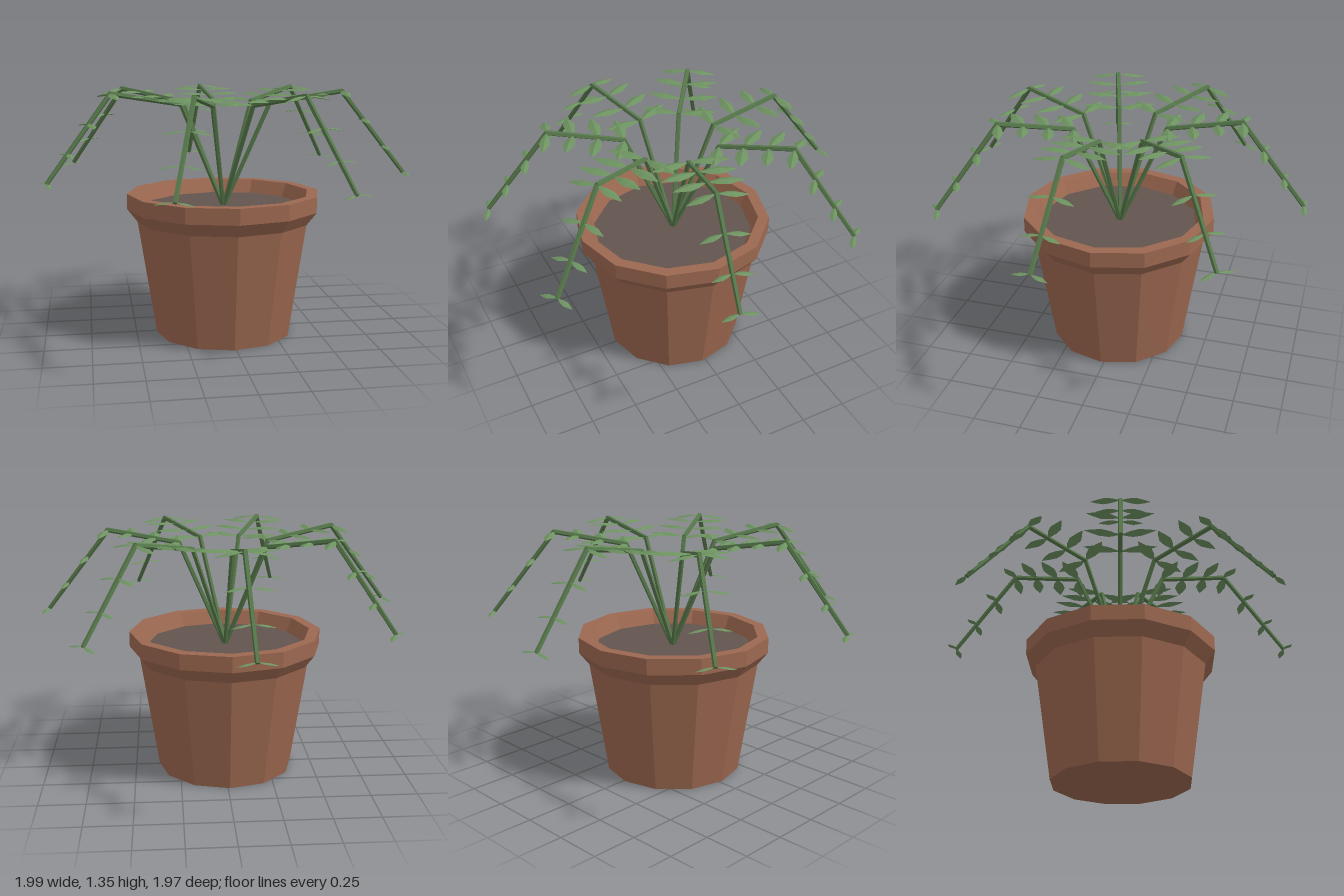
import * as THREE from 'three';

const potMat = new THREE.MeshStandardMaterial({ color: 0x9c6850 });
const soilMat = new THREE.MeshStandardMaterial({ color: 0x63554e });
const stemMat = new THREE.MeshStandardMaterial({ color: 0x56784a });
const leafMat = new THREE.MeshStandardMaterial({ color: 0x6d9260, side: THREE.DoubleSide });

// faceted normals for the low-poly look
function faceted(geometry) {
  const g = geometry.index ? geometry.toNonIndexed() : geometry;
  g.computeVertexNormals();
  return g;
}

function part(name, geometry, material) {
  const mesh = new THREE.Mesh(faceted(geometry), material);
  mesh.name = name;
  return mesh;
}

// straight stem piece between two points
function stemPiece(a, b, r0, r1) {
  const dir = b.clone().sub(a);
  const mesh = part('stem', new THREE.CylinderGeometry(r1, r0, dir.length() + 0.008, 5), stemMat);
  mesh.position.copy(a).add(b).multiplyScalar(0.5);
  mesh.quaternion.setFromUnitVectors(new THREE.Vector3(0, 1, 0), dir.normalize());
  return mesh;
}

// pointed leaf along +x, lightly folded on its midrib
function leafGeometry() {
  const top = [[0, 0, 0], [0.3, 0, 0.13], [0.55, 0, 0.17], [0.8, 0, 0.09], [1, 0, 0]];
  const rib = top.map(([x]) => [x, 0.06 * Math.sin(Math.PI * x), 0]);
  const pos = [];
  for (const s of [1, -1]) {
    for (let i = 0; i < top.length - 1; i++) {
      const e = (p) => [p[0], p[1], p[2] * s];
      const quad = [rib[i], e(top[i]), e(top[i + 1]), rib[i + 1]];
      const order = s > 0 ? [0, 1, 2, 0, 2, 3] : [0, 2, 1, 0, 3, 2];
      order.forEach((k) => pos.push(...quad[k]));
    }
  }
  const g = new THREE.BufferGeometry();
  g.setAttribute('position', new THREE.Float32BufferAttribute(pos, 3));
  return g;
}

// one frond reaching out along +z
function createFrond() {
  const frond = new THREE.Group();
  frond.name = 'frond';
  const path = [[0, 0.7], [0.25, 1.27], [0.64, 1.335], [0.985, 0.895]]
    .map(([r, y]) => new THREE.Vector3(0, y, r));
  const radii = [0.012, 0.013, 0.014, 0.012];
  for (let i = 0; i < 3; i++) frond.add(stemPiece(path[i], path[i + 1], radii[i], radii[i + 1]));

  // seven leaf pairs, shorter toward the tip
  const lengths = [0.21, 0.2, 0.185, 0.16, 0.13, 0.11, 0.1];
  const leaf = leafGeometry();
  lengths.forEach((length, i) => {
    const seg = i < 3 ? 1 : 2;
    const at = path[seg].clone().lerp(path[seg + 1], (i % 3) / 3);
    if (i === 6) at.copy(path[3]);
    const along = path[seg + 1].clone().sub(path[seg]).normalize();
    for (const side of [1, -1]) {
      const x = new THREE.Vector3(side, 0, 0).addScaledVector(along, 0.2).normalize();
      const z = new THREE.Vector3(0, 0, side);
      const y = z.clone().cross(x).normalize();
      z.crossVectors(x, y);
      const mesh = part('leaf', leaf, leafMat);
      mesh.quaternion.setFromRotationMatrix(new THREE.Matrix4().makeBasis(x, y, z));
      mesh.scale.setScalar(length);
      mesh.position.copy(at);
      frond.add(mesh);
    }
  });
  return frond;
}

export function createModel() {
  const model = new THREE.Group();
  model.name = 'pottedFern';

  // twelve-sided pot with a flared rim and hollow top
  const profile = [[0, 0], [0.378, 0], [0.475, 0.63], [0.53, 0.7], [0.53, 0.785], [0.47, 0.785], [0.425, 0.69]]
    .map(([r, y]) => new THREE.Vector2(r, y));
  const pot = part('pot', new THREE.LatheGeometry(profile, 12), potMat);
  const soil = part('soil', new THREE.CircleGeometry(0.436, 12), soilMat);
  soil.rotation.x = -Math.PI / 2;
  soil.position.y = 0.71;
  const base = new THREE.Group();
  base.name = 'plantPot';
  base.add(pot, soil);
  base.position.set(-0.01, 0, 0.018);
  model.add(base);

  // seven fronds evenly around the centre
  for (let i = 0; i < 7; i++) {
    const frond = createFrond();
    frond.rotation.y = Math.PI / 6 + (i * Math.PI * 2) / 7;
    frond.position.set(-0.01, 0, 0.013);
    model.add(frond);
  }
  return model;
}
